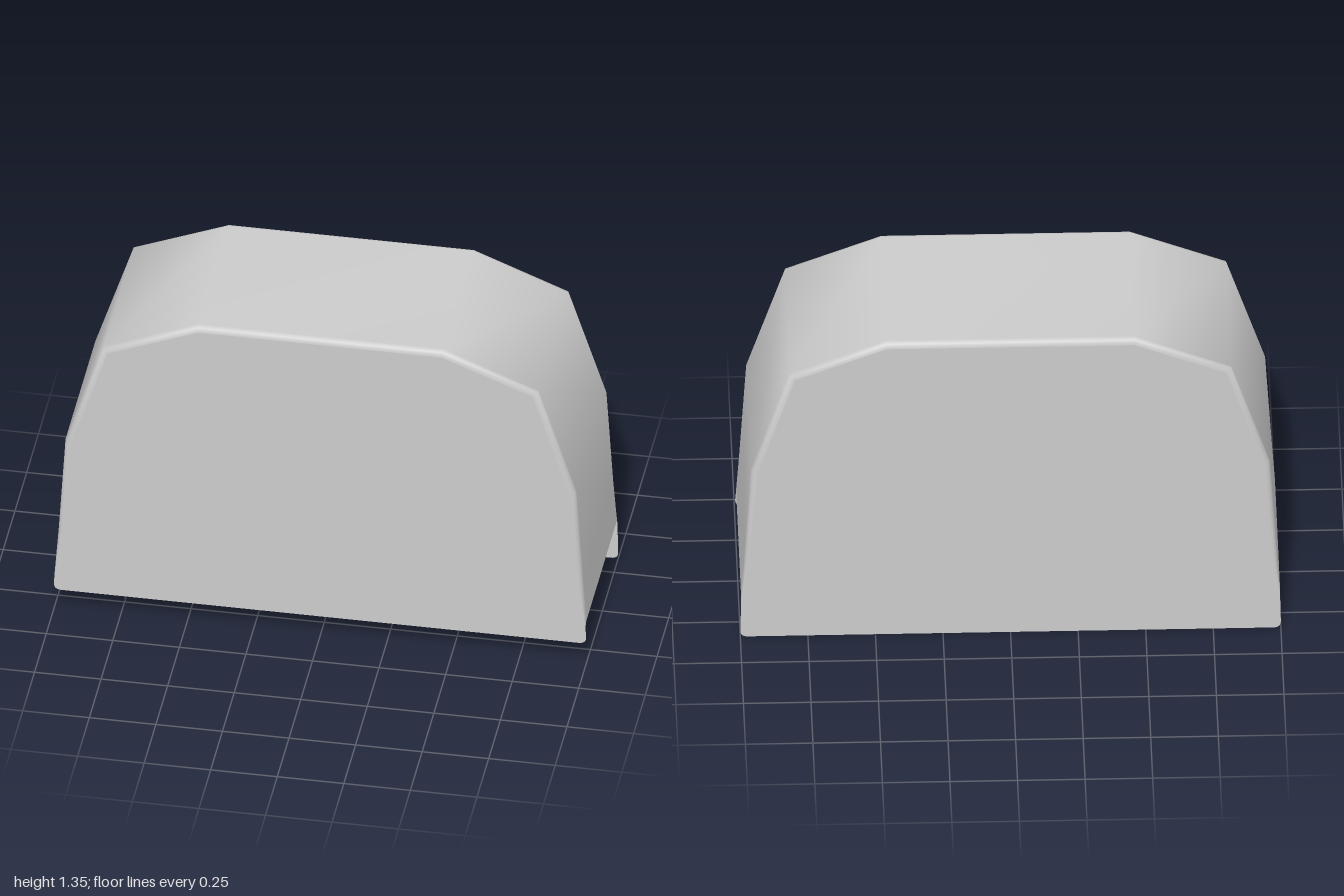
import * as THREE from 'three';

const HALF_DEPTH = 0.34;
const BEVEL = 0.024;

// right half of the arched outline, bottom to top: x, y, inset of the bevel
const half = [
  [0.997, 0.18, 0], [0.985, 0.36, 0.016], [0.96, 0.76, BEVEL],
  [0.817, 1.2, BEVEL], [0.46, 1.345, BEVEL],
];
const outline = [...half, ...half.map(([x, y, i]) => [-x, y, i]).reverse()];

// outline point moved inwards by a share t of its inset
function insetPoint(k, t) {
  const [x, y, inset] = outline[k];
  const a = outline[Math.max(k - 1, 0)];
  const b = outline[Math.min(k + 1, outline.length - 1)];
  const dx = b[0] - a[0], dy = b[1] - a[1], len = Math.hypot(dx, dy);
  const drop = inset === 0 ? 0.025 * t : 0; // lower rim curls down to the plates
  return [x - (dy / len) * inset * t, y + (dx / len) * inset * t - drop];
}

// open band over the top and sides, with rounded long edges
function bandGeometry() {
  const rows = [];
  const steps = 4;
  for (let s = 0; s <= steps; s++) {
    const a = (s / steps) * Math.PI / 2;
    rows.push([HALF_DEPTH - BEVEL * (1 - Math.cos(a)), 1 - Math.sin(a)]);
  }
  const all = [...rows, ...rows.map(([z, t]) => [-z, t]).reverse()];
  const positions = [], index = [], n = all.length;
  outline.forEach((_, k) => {
    for (const [z, t] of all) positions.push(...insetPoint(k, t), z);
  });
  for (let k = 0; k < outline.length - 1; k++) {
    for (let j = 0; j < n - 1; j++) {
      const a = k * n + j;
      index.push(a, a + 1, a + n, a + 1, a + n + 1, a + n);
    }
  }
  const geometry = new THREE.BufferGeometry();
  geometry.setAttribute('position', new THREE.Float32BufferAttribute(positions, 3));
  geometry.setIndex(index);
  geometry.computeVertexNormals();
  return geometry;
}

// flat end plate reaching down to the given height, with rounded lower corners
function plateGeometry(bottom) {
  const r = 0.028;
  const shape = new THREE.Shape();
  shape.moveTo(1 - r, bottom);
  shape.quadraticCurveTo(1, bottom, 1, bottom + r);
  outline.forEach((_, k) => shape.lineTo(...insetPoint(k, 1)));
  shape.lineTo(-1, bottom + r);
  shape.quadraticCurveTo(-1, bottom, -1 + r, bottom);
  shape.closePath();
  return new THREE.ShapeGeometry(shape, 6);
}

export function createModel() {
  const group = new THREE.Group();
  group.name = 'archedCover';
  const material = new THREE.MeshStandardMaterial({ color: 0xcccccc, side: THREE.DoubleSide });
  const add = (name, geometry) => {
    const mesh = new THREE.Mesh(geometry, material);
    mesh.name = name;
    group.add(mesh);
    return mesh;
  };

  add('coverBand', bandGeometry());
  add('frontPlate', plateGeometry(0.09)).position.z = HALF_DEPTH;

  // the back plate hangs lower than the front one
  const back = add('backPlate', plateGeometry(0));
  back.position.z = -HALF_DEPTH;
  back.rotation.y = Math.PI;

  return group;
}
